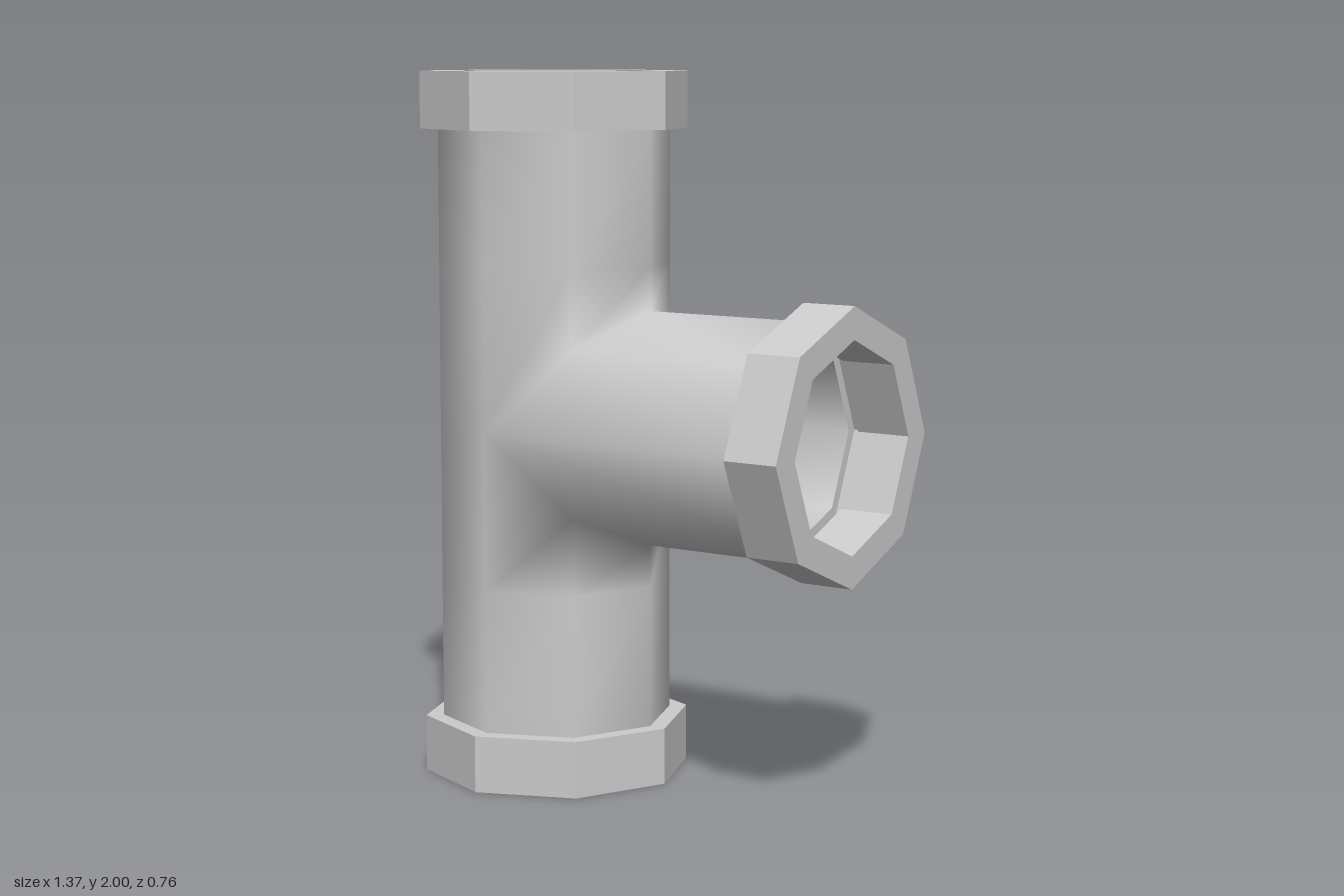
import * as THREE from 'three';
import { mergeVertices } from 'three/addons/utils/BufferGeometryUtils.js';

const SIDES = 8, OUTER = 0.33, INNER = 0.29, RIM = 0.38;
const COLLAR = 0.16, GROOVE = 0.03;
const CX = -0.31, CY = 1.01; // where the two pipe axes cross

// Smooth T-shaped wall of radius r, mitred where the branch meets the main pipe.
// inset is the distance each open end stops short of the outer rims.
function teeWall(r, inset, inward) {
  const pos = [];
  const strip = (ringA, ringB, dir) => {
    const corner = (ring, k) => {
      const a = (dir * k * Math.PI * 2) / SIDES;
      return ring(r * Math.cos(a), r * Math.sin(a));
    };
    for (let k = 0; k < SIDES; k++) {
      const a = corner(ringA, k), b = corner(ringB, k);
      const c = corner(ringA, k + 1), d = corner(ringB, k + 1);
      const tris = inward ? [a, c, b, b, c, d] : [a, b, c, b, d, c];
      tris.forEach((p) => pos.push(...p));
    }
  };
  const level = (y) => (f, z) => [f, y, z];
  const bottom = inset - CY, top = 2 - inset - CY, end = 0.68 - inset - CX;

  // main pipe, below and above the branch
  strip(level(bottom), level(-0.45), 1);
  strip(level(-0.45), (f, z) => [f, -Math.max(f, 0), z], 1);
  strip((f, z) => [f, Math.max(f, 0), z], level(0.45), 1);
  strip(level(0.45), level(top), 1);
  // side branch
  strip((f, z) => [Math.abs(f), f, z], (f, z) => [end, f, z], -1);

  let geo = new THREE.BufferGeometry();
  geo.setAttribute('position', new THREE.Float32BufferAttribute(pos, 3));
  geo = mergeVertices(geo, 1e-4);
  geo.computeVertexNormals();
  return geo;
}

// Octagonal collar with a shallow groove behind it; its outer face points to +y.
function collarGeometry() {
  const profile = [
    [OUTER - 0.01, 0], [RIM, 0], [RIM, COLLAR], [INNER, COLLAR], [INNER, 0],
    [OUTER - 0.01, 0], [OUTER - 0.01, -GROOVE], [INNER, -GROOVE],
  ].map(([x, y]) => new THREE.Vector2(x, y));
  return new THREE.LatheGeometry(profile, SIDES);
}

export function createModel() {
  const group = new THREE.Group();
  group.name = 'teePipe';
  const smooth = new THREE.MeshStandardMaterial({ color: 0xcccccc, side: THREE.DoubleSide });
  const flat = new THREE.MeshStandardMaterial({
    color: 0xcccccc, flatShading: true, side: THREE.DoubleSide,
  });

  const add = (name, geo, mat, x, y, rotZ = 0) => {
    const mesh = new THREE.Mesh(geo, mat);
    mesh.name = name;
    mesh.position.set(x, y, 0);
    mesh.rotation.z = rotZ;
    group.add(mesh);
  };

  // pipe walls
  add('outerWall', teeWall(OUTER, COLLAR, false), smooth, CX, CY);
  add('innerWall', teeWall(INNER, COLLAR + GROOVE, true), smooth, CX, CY);

  // collars on the three open ends
  const collar = collarGeometry();
  add('topCollar', collar, flat, CX, 2 - COLLAR);
  add('bottomCollar', collar, flat, CX, COLLAR, Math.PI);
  add('branchCollar', collar, flat, 0.68 - COLLAR, CY, -Math.PI / 2);
  return group;
}
